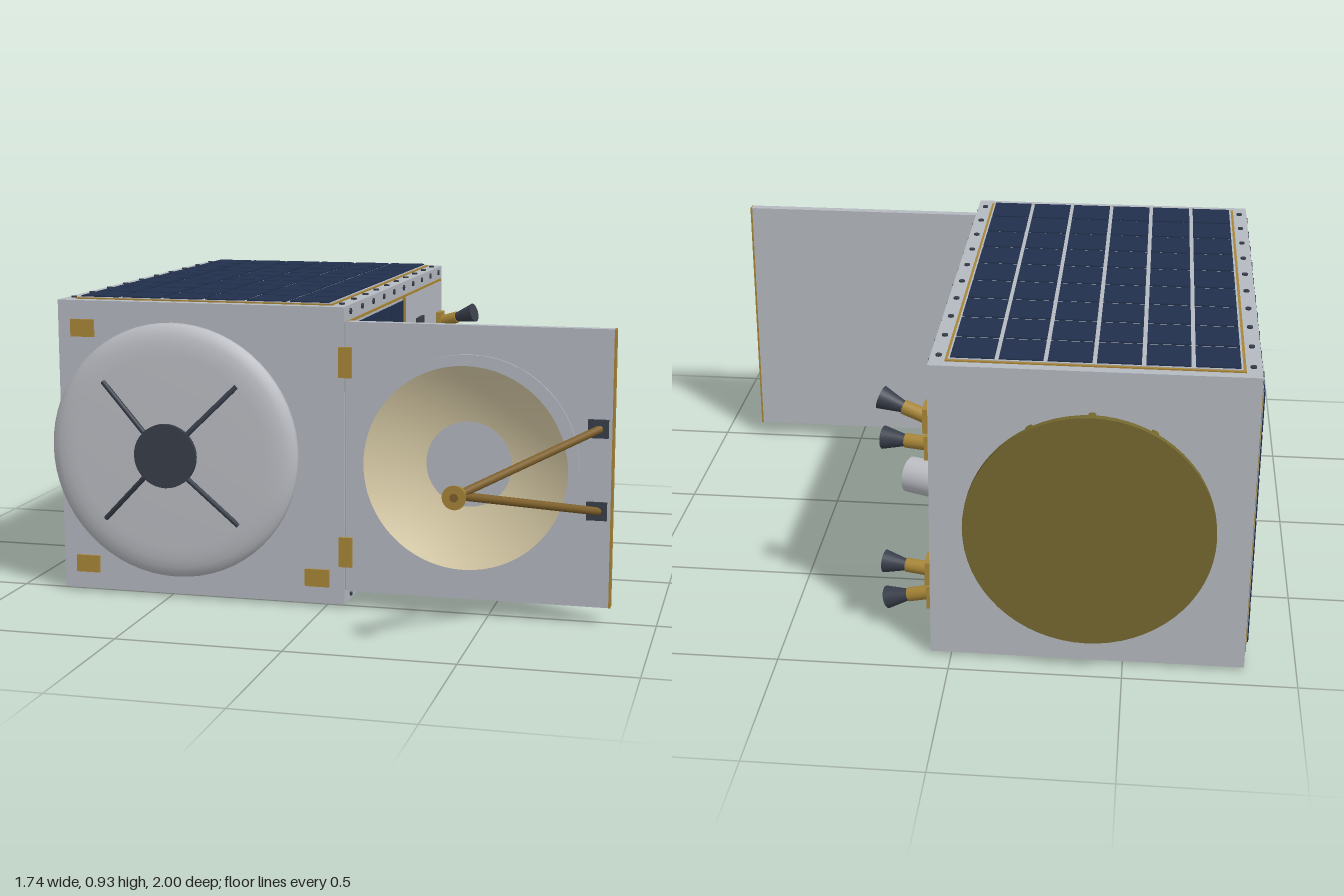
import * as THREE from 'three';
import { mergeGeometries } from 'three/addons/utils/BufferGeometryUtils.js';

const mat = (name, color, side = THREE.FrontSide) => {
  const m = new THREE.MeshStandardMaterial({ color, side });
  m.name = name;
  return m;
};
const V = (x, y, z) => new THREE.Vector3(x, y, z);

export function createModel() {
  const grey = mat('panel grey', 0xb4b9c0);
  const shell = mat('shell grey', 0xbbbdc3);
  const navy = mat('solar cell navy', 0x22304c);
  const dark = mat('dark slate', 0x383e4a);
  const gold = mat('gold', 0xa88638);
  const brass = mat('olive brass', 0x74682f);
  const bronze = mat('bronze', 0x7d5f2a);
  const cream = mat('reflector cream', 0xd8cba6, THREE.DoubleSide);

  const model = new THREE.Group();
  model.name = 'satellite';

  const add = (name, geo, m, parent = model) => {
    const mesh = new THREE.Mesh(geo, m);
    mesh.name = name;
    parent.add(mesh);
    return mesh;
  };
  // Box given by its min and max corners
  const box = (name, x0, x1, y0, y1, z0, z1, m, parent) => {
    const b = add(name, new THREE.BoxGeometry(x1 - x0, y1 - y0, z1 - z0), m, parent);
    b.position.set((x0 + x1) / 2, (y0 + y1) / 2, (z0 + z1) / 2);
    return b;
  };
  // Round bar from a (radius ra) to b (radius rb)
  const bar = (name, a, b, ra, rb, m, sides = 24, parent = model) => {
    const d = b.clone().sub(a);
    const c = add(name, new THREE.CylinderGeometry(rb, ra, d.length(), sides), m, parent);
    c.position.copy(a).add(b).multiplyScalar(0.5);
    c.quaternion.setFromUnitVectors(V(0, 1, 0), d.normalize());
    return c;
  };
  // Profile of [radius, height] turned about the z axis
  const turned = (name, pts, m) =>
    add(name, new THREE.LatheGeometry(pts.map(p => new THREE.Vector2(...p)), 64).rotateX(Math.PI / 2), m);

  // Main body
  const X0 = -0.85, X1 = 0.06, Y0 = 0.01, Y1 = 0.92, Z0 = -0.925, Z1 = 0.53;
  const cx = -0.395, cy = 0.465, cz = -0.2;
  box('body', X0, X1, Y0, Y1, Z0, Z1, grey);

  // Panel with a gold edge and an optional grid of cells, built facing +z
  const panel = (name, w, h, cols, rows) => {
    const g = new THREE.Group();
    g.name = name;
    box('goldEdge', -w / 2 - 0.008, w / 2 + 0.008, -h / 2 - 0.008, h / 2 + 0.008, 0, 0.004, gold, g);
    box('backing', -w / 2, w / 2, -h / 2, h / 2, 0, 0.006, grey, g);
    const cells = [], cw = w / cols, ch = h / rows;
    for (let i = 0; i < cols; i++) {
      for (let j = 0; j < rows; j++) {
        cells.push(new THREE.BoxGeometry(cw - 0.012, ch - 0.012, 0.006)
          .translate((i + 0.5) * cw - w / 2, (j + 0.5) * ch - h / 2, 0.007));
      }
    }
    if (cells.length) add('solarCells', mergeGeometries(cells), navy, g);
    model.add(g);
    return g;
  };
  const Q = Math.PI / 2;
  const top = panel('topSolarPanel', 0.805, 1.372, 6, 9);
  top.position.set(cx, Y1, cz);
  top.rotation.x = -Q;
  const bottom = panel('bottomSolarPanel', 0.805, 1.372, 6, 9);
  bottom.position.set(cx, Y0, cz);
  bottom.rotation.x = Q;
  const right = panel('rightSolarPanel', 1.372, 0.805, 9, 6);
  right.position.set(X0, cy, cz);
  right.rotation.y = -Q;
  const left = panel('leftSolarPanel', 0.728, 0.805, 4, 6);
  left.position.set(X1, cy, 0.128);
  left.rotation.y = Q;
  const service = panel('servicePanel', 0.63, 0.805, 0, 0);
  service.position.set(X1, cy, -0.57);
  service.rotation.y = Q;
  box('panelDivider', X1, 0.074, 0.06, 0.87, -0.256, -0.243, gold);

  // Bolts along the long edges of all four sides
  const bolts = [];
  for (let i = 0; i < 10; i++) {
    const z = -0.855 + i * 0.1457;
    for (const s of [-1, 1]) {
      for (const y of [Y0, Y1]) {
        bolts.push(new THREE.CylinderGeometry(0.009, 0.009, 0.01, 10).translate(cx + s * 0.431, y, z));
      }
      for (const x of [X0, X1]) {
        bolts.push(new THREE.CylinderGeometry(0.009, 0.009, 0.01, 10).rotateZ(Q).translate(x, cy + s * 0.436, z));
      }
    }
  }
  add('edgeBolts', mergeGeometries(bolts), dark);

  // Shallow round antenna on the front with its four struts and cap
  const ax = -0.473;
  turned('frontAntenna', [[0.365, 0], [0.388, 0.01], [0.396, 0.022], [0.393, 0.032], [0.38, 0.044],
    [0.36, 0.052], [0.335, 0.057], [0.3, 0.06], [0.15, 0.062], [0, 0.063]], shell).position.set(ax, cy, Z1 - 0.005);
  bar('antennaCap', V(ax, cy, 0.62), V(ax, cy, 0.634), 0.098, 0.098, dark, 40);
  for (let i = 0; i < 4; i++) {
    const a = Q / 2 + i * Q, c = Math.cos(a), s = Math.sin(a);
    bar('antennaStrut', V(ax + c * 0.08, cy + s * 0.08, 0.627), V(ax + c * 0.302, cy + s * 0.302, 0.583), 0.008, 0.008, dark, 10);
  }
  for (const [x, y] of [[-0.77, 0.835], [-0.77, 0.09], [-0.025, 0.09]]) {
    box('frontPad', x - 0.038, x + 0.038, y - 0.027, y + 0.027, Z1, Z1 + 0.008, gold);
  }

  // Hinged door on the model's left
  box('door', 0.067, 0.862, 0.052, 0.877, 0.495, 0.525, grey);
  box('doorEdge', 0.86, 0.866, 0.052, 0.877, 0.494, 0.526, gold);
  bar('hingeRod', V(0.064, 0.055, 0.515), V(0.064, 0.875, 0.515), 0.007, 0.007, grey, 12);
  for (const y of [0.175, 0.755]) box('hinge', 0.044, 0.084, y - 0.046, y + 0.046, 0.49, 0.537, gold);

  // Dish reflector, whose bottom sinks into its mounting disc
  const dx = 0.441;
  bar('dishMount', V(dx, cy, 0.52), V(dx, cy, 0.531), 0.326, 0.326, grey, 64);
  const dish = [];
  for (let i = 0; i <= 12; i++) {
    const r = 0.11 + 0.193 * i / 12;
    dish.push([r, 0.515 + 0.97 * r * r]);
  }
  turned('dishReflector', dish, cream).position.set(dx, cy, 0);

  // Feed held by two struts
  const feed = V(0.49, cy, 0.965);
  for (const s of [-1, 1]) {
    const y = cy + s * 0.122;
    box('strutBracket', 0.79, 0.85, y - 0.027, y + 0.027, 0.525, 0.536, dark);
    bar('feedStrut', V(0.825, y, 0.53), feed, 0.012, 0.012, bronze, 12);
  }
  bar('feedHorn', V(0.49, cy, 0.94), V(0.487, cy, 0.998), 0.02, 0.034, gold, 24);
  bar('feedTip', V(0.487, cy, 0.997), V(0.487, cy, 1), 0.012, 0.012, bronze, 16);

  // Launch adapter ring at the back
  const ry = 0.463;
  bar('adapterNeck', V(cx, ry, Z0), V(cx, ry, -0.985), 0.328, 0.328, brass, 64);
  bar('adapterFlange', V(cx, ry, -0.98), V(cx, ry, -1), 0.353, 0.353, brass, 64);
  for (let i = 0; i < 12; i++) {
    const a = i * Math.PI / 6, c = Math.cos(a), s = Math.sin(a);
    bar('adapterBolt', V(cx + c * 0.32, ry + s * 0.32, -0.957), V(cx + c * 0.346, ry + s * 0.346, -0.957), 0.011, 0.011, brass, 10);
  }

  // Equipment on the service panel
  box('radiator', X1, 0.075, 0.642, 0.777, -0.553, -0.447, dark);
  box('sensorBox', X1, 0.082, 0.393, 0.472, -0.622, -0.533, gold);
  box('conduit', X1, 0.078, 0.13, 0.72, -0.722, -0.708, bronze);
  bar('sunSensorBase', V(X1, 0.578, -0.371), V(0.074, 0.578, -0.371), 0.074, 0.074, grey, 40);
  bar('sunSensorLens', V(0.07, 0.578, -0.371), V(0.08, 0.578, -0.371), 0.043, 0.043, dark, 32);

  // Tilted star tracker
  const s0 = V(0.055, 0.28, -0.378), dir = V(0.93, 0, 0.36).normalize();
  const along = t => s0.clone().addScaledVector(dir, t);
  bar('trackerCollar', along(0), along(0.036), 0.078, 0.078, shell, 40);
  bar('trackerTube', along(0.03), along(0.155), 0.057, 0.057, shell, 40);
  bar('trackerLens', along(0.15), along(0.158), 0.044, 0.044, dark, 32);

  // Thrusters: [base y, base z, tip y, tip z]
  for (const [by, bz, ty, tz] of [[0.722, -0.832, 0.762, -0.8], [0.625, -0.805, 0.622, -0.77],
    [0.232, -0.832, 0.232, -0.8], [0.135, -0.8, 0.092, -0.77]]) {
    const t = new THREE.Group();
    t.name = 'thruster';
    model.add(t);
    box('thrusterBracket', X1, 0.083, by - 0.037, by + 0.037, bz - 0.036, bz + 0.036, gold, t);
    const a = V(0.075, by, bz), b = V(0.208, ty, tz);
    const mid = a.clone().lerp(b, 0.5);
    bar('thrusterValve', a, mid, 0.021, 0.021, gold, 20, t);
    bar('thrusterNozzle', a.clone().lerp(b, 0.45), b, 0.015, 0.034, dark, 24, t);
  }
  return model;
}
